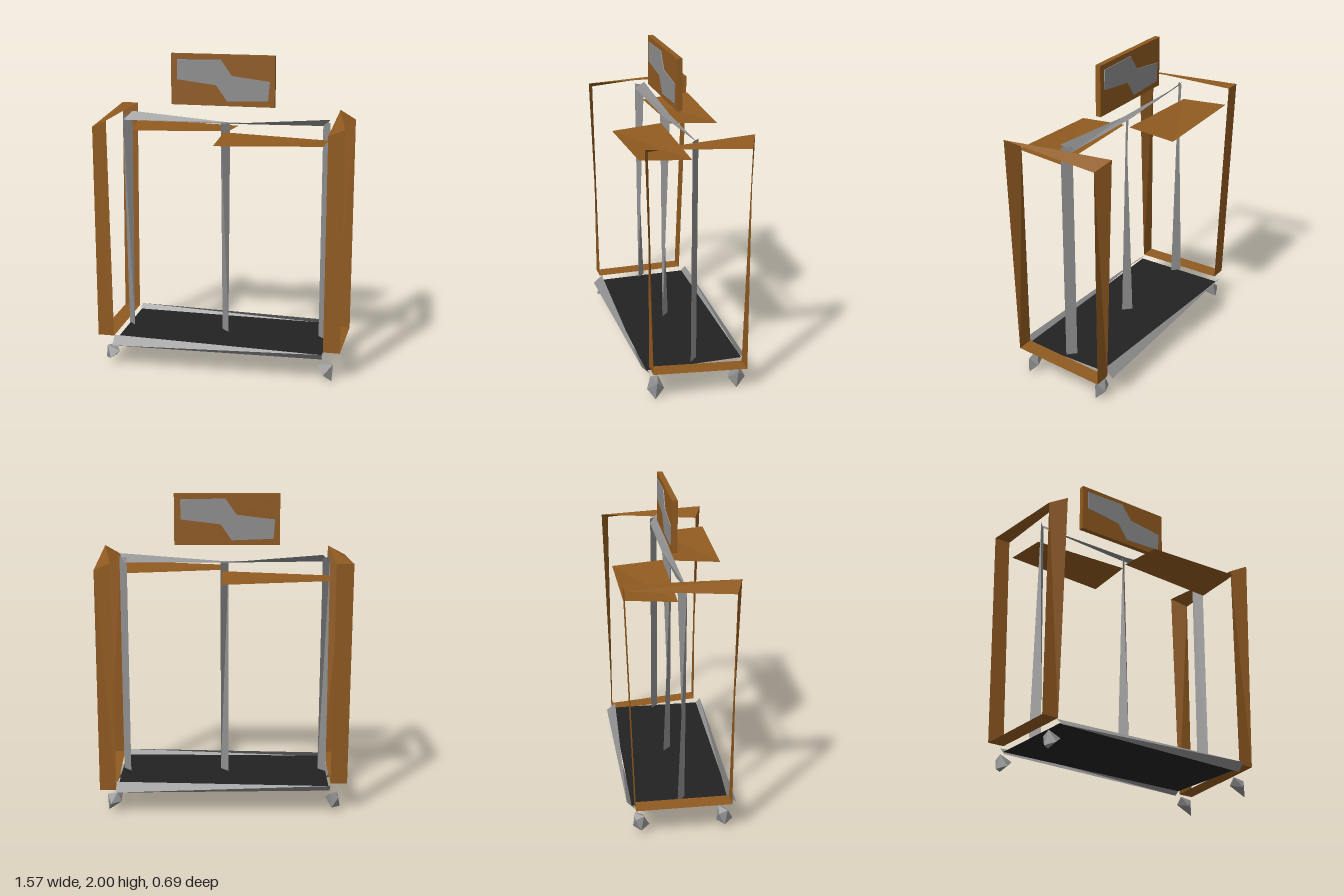
import * as THREE from 'three';
import { ConvexGeometry } from 'three/addons/geometries/ConvexGeometry.js';

const flat = (name, color) => {
  const m = new THREE.MeshStandardMaterial({ color, flatShading: true, side: THREE.DoubleSide });
  m.name = name;
  return m;
};

export function createModel() {
  const wood = flat('wood', 0x905a20);
  const metal = flat('metal', 0x8e8e8e);
  const black = flat('black', 0x222222);
  const root = new THREE.Group();
  root.name = 'clothesRack';

  const add = (name, geometry, material) => {
    const mesh = new THREE.Mesh(geometry, material);
    mesh.name = name;
    root.add(mesh);
    return mesh;
  };

  // Folded strip between two edges, given as pairs of points
  const ribbon = (name, pairs, material) => {
    const p = [];
    for (let i = 0; i + 1 < pairs.length; i++) {
      const [a0, b0] = pairs[i], [a1, b1] = pairs[i + 1];
      p.push(...a0, ...b0, ...a1, ...b0, ...b1, ...a1);
    }
    const g = new THREE.BufferGeometry();
    g.setAttribute('position', new THREE.Float32BufferAttribute(p, 3));
    g.computeVertexNormals();
    return add(name, g, material);
  };

  // End frames: closed wooden loops, each corner on the inner or outer outline
  const frame = (name, xa, xb, corners) => {
    const pairs = corners.map(([ya, za, yb, zb]) => [[xa, ya, za], [xb, yb, zb]]);
    ribbon(name, [...pairs, pairs[0]], wood);
  };
  frame('leftEndFrame', 0.68, 0.785, [
    [0.2, 0.295, 0.2, 0.295], [1.57, 0.295, 1.62, 0.34],
    [1.62, -0.345, 1.57, -0.295], [0.15, -0.3, 0.15, -0.3],
  ]);
  frame('rightEndFrame', -0.785, -0.68, [
    [0.2, 0.295, 0.2, 0.295], [1.57, 0.295, 1.62, 0.34],
    [1.62, -0.345, 1.62, -0.345], [0.2, -0.295, 0.2, -0.295],
  ]);

  // Uprights: one flat diagonal strip and two twisted ones
  const d = 0.025;
  const post = (name, x, top, twist) => ribbon(name, [
    [[x - d, 0.18, -d], [x + d, 0.18, d]],
    [[x - d, top, d * twist], [x + d, top, -d * twist]],
  ], metal);
  post('rightPost', -0.645, 1.6, 1);
  post('middlePost', -0.005, 1.57, 1);
  post('leftPost', 0.635, 1.6, -1);

  // Hanging rail
  ribbon('hangingRail', [
    [[-0.62, 1.62, -0.028], [-0.67, 1.57, d]],
    [[0, 1.57, -0.028], [0, 1.57, d]],
    [[0.62, 1.57, -0.028], [0.66, 1.62, d]],
  ], metal);

  // Small shelves, diagonally opposite
  ribbon('frontShelf', [
    [[-0.01, 1.515, 0.025], [-0.01, 1.49, 0.34]],
    [[0.655, 1.49, 0.025], [0.655, 1.515, 0.34]],
  ], wood);
  ribbon('backShelf', [
    [[-0.655, 1.515, -0.34], [-0.655, 1.49, -0.025]],
    [[0.01, 1.49, -0.34], [0.01, 1.515, -0.025]],
  ], wood);

  // Base deck and its two long rails
  ribbon('deck', [
    [[-0.67, 0.17, -0.31], [-0.67, 0.17, 0.3]],
    [[0.67, 0.17, -0.3], [0.67, 0.17, 0.31]],
  ], black);
  for (const name of ['frontBaseRail', 'backBaseRail']) {
    const rail = ribbon(name, [
      [[-0.68, 0.2, 0.28], [-0.68, 0.15, 0.34]],
      [[0.675, 0.2, 0.34], [0.675, 0.15, 0.29]],
    ], metal);
    if (name === 'backBaseRail') rail.rotation.y = Math.PI;
  }

  // Sign board with a zigzag plate on each face
  add('signBoard', new THREE.BoxGeometry(0.66, 0.32, 0.034), wood).position.set(-0.02, 1.84, 0);
  const zigzag = new THREE.Shape([
    [-0.29, 0.125], [-0.01, 0.13], [0.06, 0.03], [0.3, 0],
    [0.29, -0.12], [0.03, -0.13], [-0.04, -0.03], [-0.29, 0],
  ].map(([x, y]) => new THREE.Vector2(x, y)));
  for (const s of [1, -1]) {
    const plate = add(s > 0 ? 'frontSignPlate' : 'backSignPlate',
      new THREE.ExtrudeGeometry(zigzag, { depth: 0.005, bevelEnabled: false }), metal);
    plate.position.set(-0.02, 1.84, 0.018 * s);
    if (s < 0) plate.rotation.y = Math.PI;
  }

  // Casters: rough faceted lumps
  const lump = new ConvexGeometry([
    [-0.03, 0.125, 0.02], [0.02, 0.13, -0.03], [0.05, 0.09, 0.02], [0.0, 0.05, 0.055],
    [-0.045, 0.035, 0.0], [0.01, 0.04, -0.045], [-0.03, 0.1, -0.035],
  ].map(v => new THREE.Vector3(...v)));
  const wedge = new ConvexGeometry([
    [-0.05, 0.11, 0.02], [-0.02, 0.13, -0.02], [0.045, 0.11, 0.0], [0.04, 0.0, 0.01],
    [-0.01, 0.05, 0.05], [-0.045, 0.07, -0.03], [0.02, 0.06, -0.05],
  ].map(v => new THREE.Vector3(...v)));
  for (const sz of [1, -1]) {
    add('rightCaster', lump, metal).position.set(-0.7, 0, 0.26 * sz);
    add('leftCaster', wedge, metal).position.set(0.695, 0, 0.26 * sz);
  }

  return root;
}
